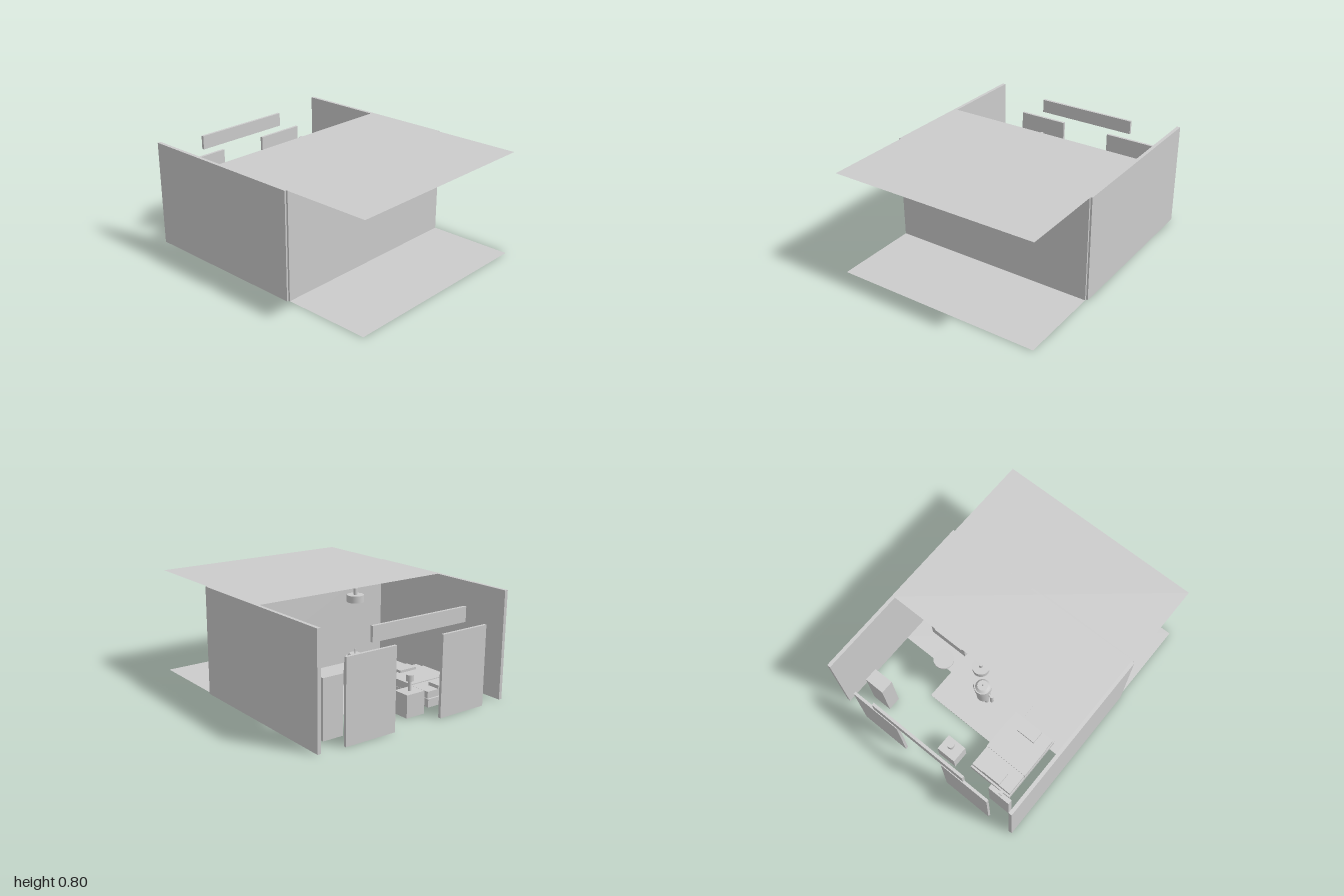
import * as THREE from 'three';

const grey = new THREE.MeshStandardMaterial({ color: 0xcccccc });
const sheet = new THREE.MeshStandardMaterial({ color: 0xcccccc, side: THREE.DoubleSide });

export function createModel() {
  const model = new THREE.Group();

  const add = (name, geometry, x, y, z, parent = model, material = grey) => {
    const mesh = new THREE.Mesh(geometry, material);
    mesh.name = name;
    mesh.position.set(x, y, z);
    parent.add(mesh);
    return mesh;
  };
  // Box given by its extents on each axis
  const box = (name, [x0, x1], [y0, y1], [z0, z1], parent) =>
    add(name, new THREE.BoxGeometry(x1 - x0, y1 - y0, z1 - z0),
      (x0 + x1) / 2, (y0 + y1) / 2, (z0 + z1) / 2, parent);
  // Upright cylinder from y0 to y1
  const post = (name, r, [y0, y1], x, z, parent, rTop = r) =>
    add(name, new THREE.CylinderGeometry(rTop, r, y1 - y0, 32), x, (y0 + y1) / 2, z, parent);
  const group = (name) => {
    const g = new THREE.Group();
    g.name = name;
    model.add(g);
    return g;
  };

  // Room shell: floor and ceiling sheets are offset from the walls
  for (const [name, y] of [['floor', 0.002], ['ceiling', 0.795]]) {
    const plane = new THREE.PlaneGeometry(1.588, 1.325).rotateX(-Math.PI / 2);
    add(name, plane, 0, y, 0.3375, model, sheet);
  }
  box('frontWall', [-0.794, 0.794], [0, 0.795], [0.324, 0.351]);
  for (const s of [-1, 1]) {
    const side = s > 0 ? 'left' : 'right';
    box(side + 'Wall', [s * 0.794 - 0.013, s * 0.794 + 0.013], [0, 0.795], [-0.988, 0.337]);
    box(side + 'BackPanel', [s * 0.4 - 0.2, s * 0.4 + 0.2], [0, 0.585], [-1, -0.979]);
  }
  box('backLintel', [-0.398, 0.398], [0.638, 0.744], [-1, -0.979]);

  // Rug in the middle of the room
  box('rug', [-0.33, 0.33], [0, 0.005], [-0.565, -0.085]);

  // Bed with mattress, blanket and cushions
  const bed = group('bed');
  box('bedFrame', [-0.635, -0.27], [0, 0.06], [-0.805, -0.27], bed);
  box('mattress', [-0.628, -0.277], [0.06, 0.11], [-0.79, -0.285], bed);
  box('blanket', [-0.632, -0.273], [0.06, 0.116], [-0.62, -0.36], bed);
  box('pillow', [-0.53, -0.375], [0.11, 0.135], [-0.79, -0.69], bed);
  box('footCushion', [-0.53, -0.375], [0.11, 0.135], [-0.39, -0.29], bed);

  // Nightstand with a small lamp
  const nightstand = group('nightstand');
  box('nightstandBody', [-0.172, -0.015], [0, 0.165], [-0.87, -0.742], nightstand);
  post('nightstandLampStem', 0.012, [0.165, 0.235], -0.094, -0.805, nightstand);
  post('nightstandLampShade', 0.026, [0.235, 0.28], -0.094, -0.805, nightstand);

  // Narrow locker with a small block on its top
  box('locker', [-0.7, -0.52], [0, 0.385], [-0.89, -0.855]);
  box('lockerBlock', [-0.625, -0.597], [0.375, 0.4], [-0.876, -0.842]);

  // Tall cabinet
  box('cabinet', [0.503, 0.66], [0, 0.42], [-0.845, -0.742]);

  // Round side table
  const table = group('roundTable');
  post('tableTop', 0.08, [0.082, 0.098], 0.42, -0.3, table);
  post('tableStem', 0.01, [0.008, 0.082], 0.42, -0.3, table);
  post('tableFoot', 0.035, [0, 0.008], 0.42, -0.3, table);

  // Sofa facing the back of the room
  const sofa = group('sofa');
  box('sofaSeat', [0.33, 0.66], [0, 0.09], [-0.16, 0.14], sofa);
  box('sofaBack', [0.33, 0.66], [0.09, 0.19], [0.1, 0.14], sofa);
  for (const x of [0.33, 0.63]) box('sofaArm', [x, x + 0.03], [0.09, 0.125], [-0.16, 0.1], sofa);

  // Small barrel-shaped robot standing on the rug
  const robot = group('robot');
  const rz = -0.328;
  post('torso', 0.052, [0.09, 0.235], 0, rz, robot, 0.056);
  post('neckRing', 0.045, [0.235, 0.25], 0, rz, robot);
  post('head', 0.064, [0.25, 0.305], 0, rz, robot);
  post('headCap', 0.056, [0.305, 0.325], 0, rz, robot, 0.04);
  post('antenna', 0.005, [0.325, 0.36], 0, rz, robot);
  for (const s of [-1, 1]) {
    post('leg', 0.018, [0, 0.09], s * 0.028, rz, robot);
    post('arm', 0.014, [0.11, 0.22], s * 0.082, rz, robot);
    const shoulder = new THREE.CylinderGeometry(0.01, 0.01, 0.04, 16).rotateZ(Math.PI / 2);
    add('shoulder', shoulder, s * 0.062, 0.205, rz, robot);
  }

  // Ceiling lamp
  const lamp = group('ceilingLamp');
  post('lampRod', 0.013, [0.75, 0.795], 0, -0.326, lamp);
  post('lampShade', 0.06, [0.7, 0.75], 0, -0.326, lamp);

  return model;
}
